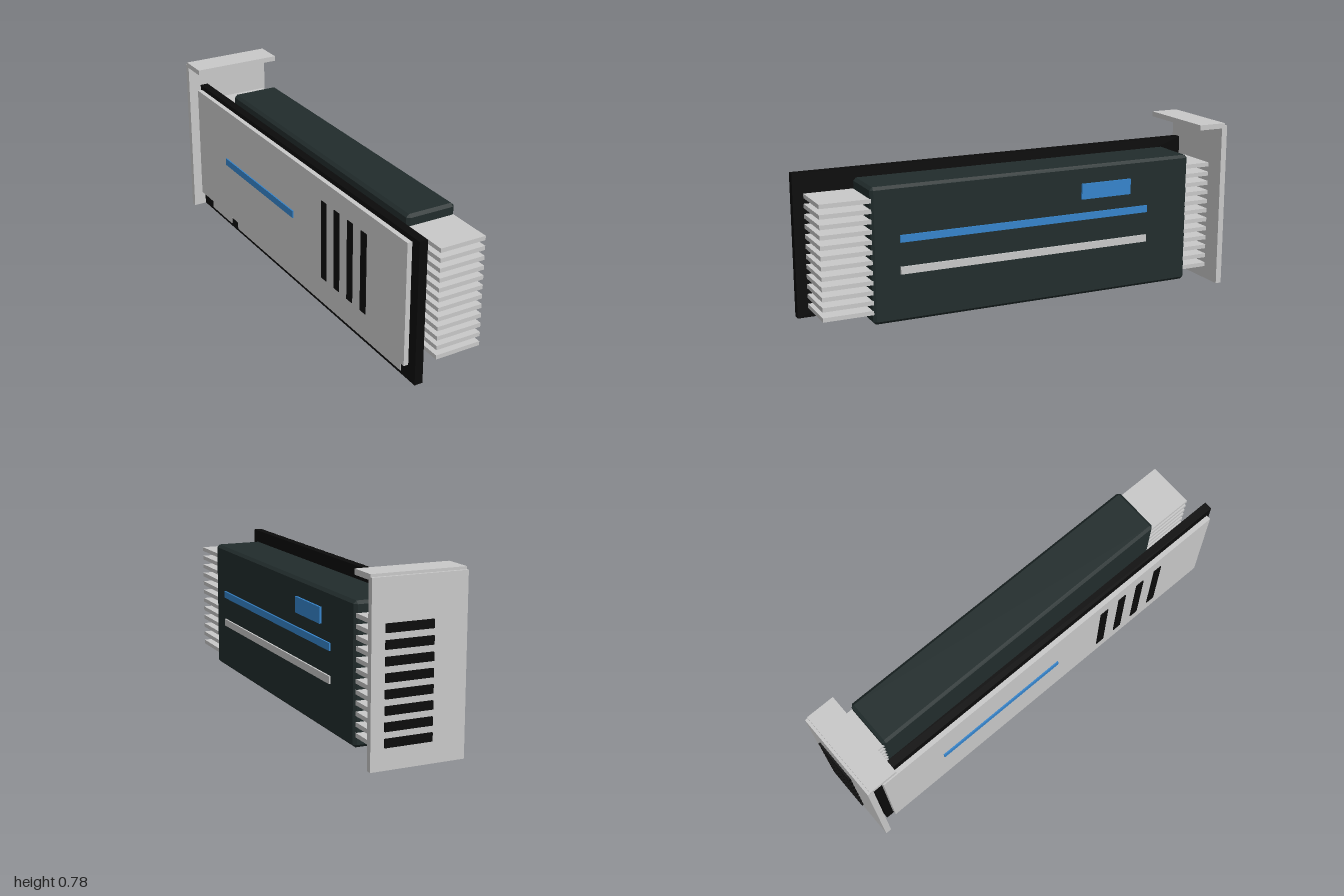
import * as THREE from 'three';
import { ConvexGeometry } from 'three/addons/geometries/ConvexGeometry.js';

const material = (name, color, extra = {}) => {
  const m = new THREE.MeshStandardMaterial({ color, ...extra });
  m.name = name;
  return m;
};

export function createModel() {
  const metal = material('light metal', 0xc8c8c8);
  const black = material('board black', 0x0a0a0a);
  const dark = material('dark shroud', 0x212c2c);
  const blue = material('accent blue', 0x3584cb);

  const model = new THREE.Group();
  model.name = 'expansionCard';

  const add = (name, geometry, mat, parent = model) => {
    const mesh = new THREE.Mesh(geometry, mat);
    mesh.name = name;
    parent.add(mesh);
    return mesh;
  };
  // Box given by its extents on each axis
  const box = (name, mat, [x0, x1], [y0, y1], [z0, z1], parent) => {
    const mesh = add(name, new THREE.BoxGeometry(x1 - x0, y1 - y0, z1 - z0), mat, parent);
    mesh.position.set((x0 + x1) / 2, (y0 + y1) / 2, (z0 + z1) / 2);
    return mesh;
  };
  const group = (name) => {
    const g = new THREE.Group();
    g.name = name;
    model.add(g);
    return g;
  };
  // Box with every edge cut at 45 degrees
  const chamferedBox = (w, h, d, c) => {
    const points = [];
    for (const x of [-1, 1]) for (const y of [-1, 1]) for (const z of [-1, 1]) {
      for (let axis = 0; axis < 3; axis++) {
        const inset = [c, c, c];
        inset[axis] = 0;
        points.push(new THREE.Vector3(
          x * (w / 2 - inset[0]), y * (h / 2 - inset[1]), z * (d / 2 - inset[2])));
      }
    }
    return new ConvexGeometry(points);
  };

  // Circuit board and its edge contacts
  box('circuitBoard', black, [-0.158, -0.12], [0.012, 0.66], [-0.94, 1]);
  const contacts = group('edgeContacts');
  box('longContact', metal, [-0.161, -0.117], [0.027, 0.115], [-0.56, 0.9], contacts);
  box('shortContact', metal, [-0.161, -0.117], [0.027, 0.115], [-0.84, -0.63], contacts);

  // Shroud over the cooler
  add('shroud', chamferedBox(0.231, 0.6, 1.55, 0.013), dark).position.set(0.0675, 0.337, -0.02);

  // Cooling fins running through the shroud
  const fins = group('coolingFins');
  for (let i = 0; i < 12; i++) {
    const y = 0.092 + i * 0.0443;
    box('fin', metal, [-0.04, 0.175], [y - 0.0095, y + 0.0095], [-0.915, 0.975], fins);
  }

  // Shroud trim
  const trim = group('shroudTrim');
  box('badge', blue, [0.183, 0.1925], [0.485, 0.556], [-0.485, -0.235], trim);
  box('blueStripe', blue, [0.183, 0.191], [0.39, 0.422], [-0.575, 0.63], trim);
  box('lightStripe', metal, [0.183, 0.191], [0.25, 0.283], [-0.575, 0.63], trim);

  // Backplate with vents and a stripe
  box('backplate', metal, [-0.19, -0.168], [0.094, 0.648], [-0.905, 0.965]);
  const plateDetails = group('backplateDetails');
  for (let i = 0; i < 4; i++) {
    const z = 0.335 + i * 0.1067;
    box('backplateVent', black, [-0.194, -0.189], [0.185, 0.556], [z - 0.021, z + 0.021], plateDetails);
  }
  box('backplateStripe', blue, [-0.196, -0.189], [0.366, 0.4], [-0.6, 0.065], plateDetails);

  // Mounting bracket with its top flange and vents
  const bracket = group('bracket');
  box('bracketPlate', metal, [-0.21, 0.209], [0, 0.764], [-0.988, -0.96], bracket);
  box('bracketFlange', metal, [-0.21, 0.209], [0.752, 0.776], [-0.975, -0.84], bracket);
  for (let i = 0; i < 8; i++) {
    const y = 0.112 + i * 0.065;
    box('bracketVent', black, [-0.06, 0.15], [y - 0.018, y + 0.018], [-0.997, -0.987], bracket);
  }
  return model;
}
